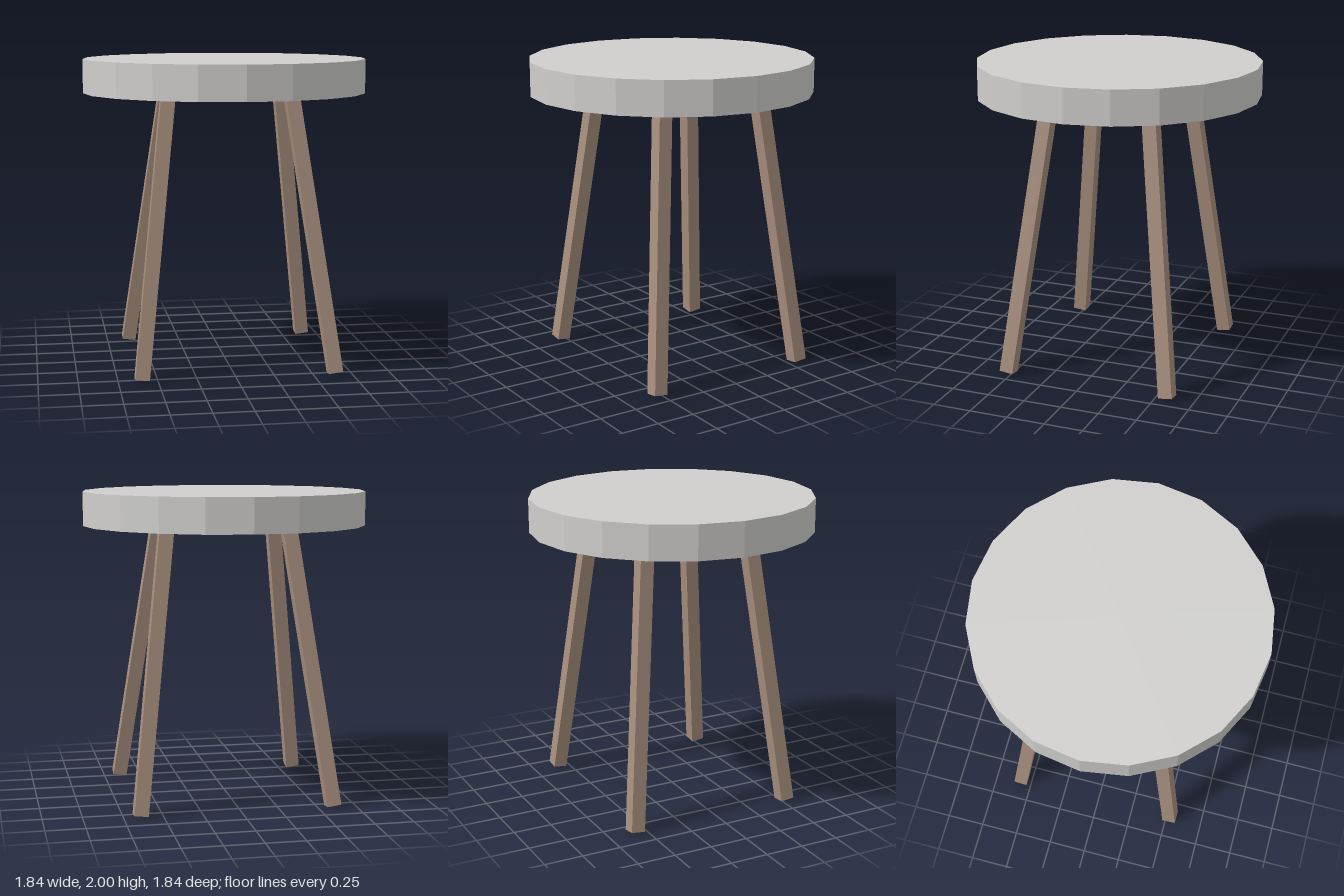
import * as THREE from 'three';

const SEAT_RADIUS = 0.92, SEAT_HEIGHT = 0.22, LEG_SIZE = 0.091;

// Square leg running from its foot to its top, ends cut square to the axis
function makeLeg(name, foot, top, material) {
  const a = new THREE.Vector3(...foot), b = new THREE.Vector3(...top);
  const axis = b.clone().sub(a);
  const leg = new THREE.Mesh(new THREE.BoxGeometry(LEG_SIZE, axis.length(), LEG_SIZE), material);
  leg.name = name;
  leg.position.copy(a).add(b).multiplyScalar(0.5);
  leg.quaternion.setFromUnitVectors(new THREE.Vector3(0, 1, 0), axis.normalize());
  return leg;
}

export function createModel() {
  const stool = new THREE.Group();
  stool.name = 'stool';

  const seatGrey = new THREE.MeshStandardMaterial({ color: 0xd0cfcd, flatShading: true });
  seatGrey.name = 'seatGrey';
  const legWood = new THREE.MeshStandardMaterial({ color: 0xa88f7e, flatShading: true });
  legWood.name = 'legWood';

  // Round faceted seat
  const seat = new THREE.Mesh(
    new THREE.CylinderGeometry(SEAT_RADIUS, SEAT_RADIUS, SEAT_HEIGHT, 20), seatGrey);
  seat.name = 'seat';
  seat.position.y = 2 - SEAT_HEIGHT / 2;
  stool.add(seat);

  // Four splayed legs, slightly uneven, ending just inside the seat
  const legs = [
    ['frontLeftLeg', [0.643, 0.011, 0.527], [0.383, 1.8, 0.318]],
    ['frontRightLeg', [-0.6, 0.011, 0.527], [-0.403, 1.8, 0.325]],
    ['backLeftLeg', [0.643, 0.011, -0.573], [0.438, 1.8, -0.374]],
    ['backRightLeg', [-0.6, 0.011, -0.573], [-0.343, 1.8, -0.366]],
  ];
  for (const [name, foot, top] of legs) stool.add(makeLeg(name, foot, top, legWood));

  return stool;
}
